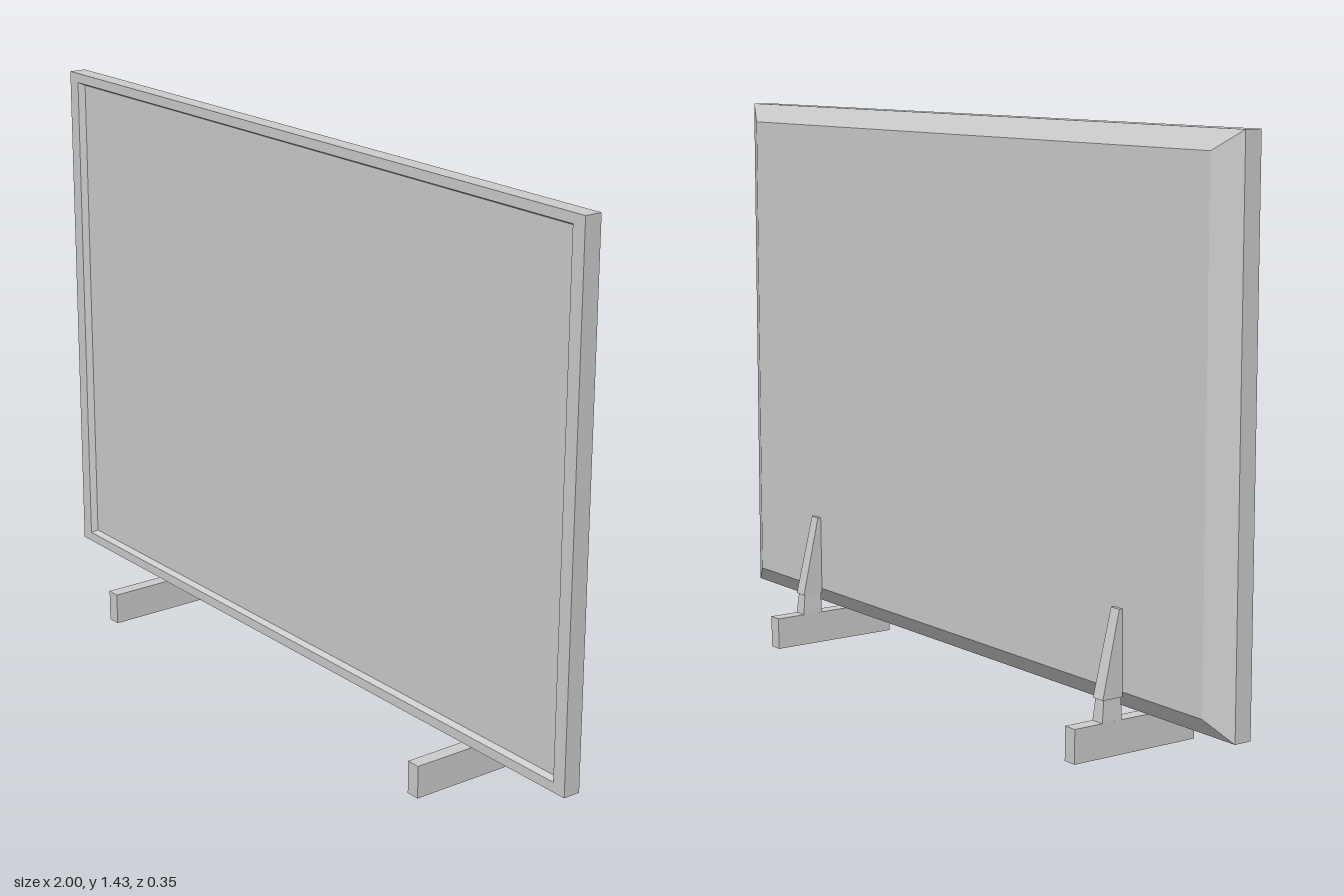
import * as THREE from 'three';

const material = new THREE.MeshStandardMaterial({ color: 0xcccccc, flatShading: true });

// Closed solid through four-cornered rings; rings wind counter-clockwise seen from outside the first cap
function loft(name, rings) {
  const pos = [];
  const quad = (a, b, c, d) => [a, b, c, a, c, d].forEach(p => pos.push(...p));
  quad(...rings[0]);
  for (let i = 0; i < rings.length - 1; i++) {
    for (let k = 0; k < 4; k++) {
      const n = (k + 1) % 4;
      quad(rings[i][k], rings[i + 1][k], rings[i + 1][n], rings[i][n]);
    }
  }
  quad(...[...rings[rings.length - 1]].reverse());
  const geometry = new THREE.BufferGeometry();
  geometry.setAttribute('position', new THREE.Float32BufferAttribute(pos, 3));
  geometry.computeVertexNormals();
  const mesh = new THREE.Mesh(geometry, material);
  mesh.name = name;
  return mesh;
}

// Rectangle facing +z, scaled about the middle of the panel
function panelRing(scale, z) {
  const x = scale, h = 0.665 * scale, y = 0.765;
  return [[-x, y - h, z], [x, y - h, z], [x, y + h, z], [-x, y + h, z]];
}

// Horizontal rectangle for the upright sections
function levelRing(y, halfWidth, back, front) {
  return [[-halfWidth, y, back], [halfWidth, y, back], [halfWidth, y, front], [-halfWidth, y, front]];
}

function createStand(name, x) {
  const stand = new THREE.Group();
  stand.name = name;
  stand.position.x = x;

  const foot = new THREE.Mesh(new THREE.BoxGeometry(0.036, 0.082, 0.354), material);
  foot.name = 'foot';
  foot.position.y = 0.041;

  // Tapered neck and the wedge bracket that rests against the back
  const neck = loft('neck', [
    levelRing(0.08, 0.018, -0.098, -0.041),
    levelRing(0.135, 0.015, -0.092, -0.042),
  ]);
  const bracket = loft('bracket', [
    levelRing(0.135, 0.018, -0.097, -0.04),
    levelRing(0.34, 0.015, -0.049, -0.04),
  ]);
  stand.add(foot, neck, bracket);
  return stand;
}

export function createModel() {
  const model = new THREE.Group();
  model.name = 'flatScreen';

  // Recessed screen, bezel, side walls and chamfered back
  model.add(loft('panel', [
    panelRing(0.952, 0.025),
    panelRing(0.963, 0.04),
    panelRing(1, 0.04),
    panelRing(1, -0.005),
    panelRing(0.93, -0.04),
  ]));

  model.add(createStand('leftStand', 0.638), createStand('rightStand', -0.638));
  return model;
}
